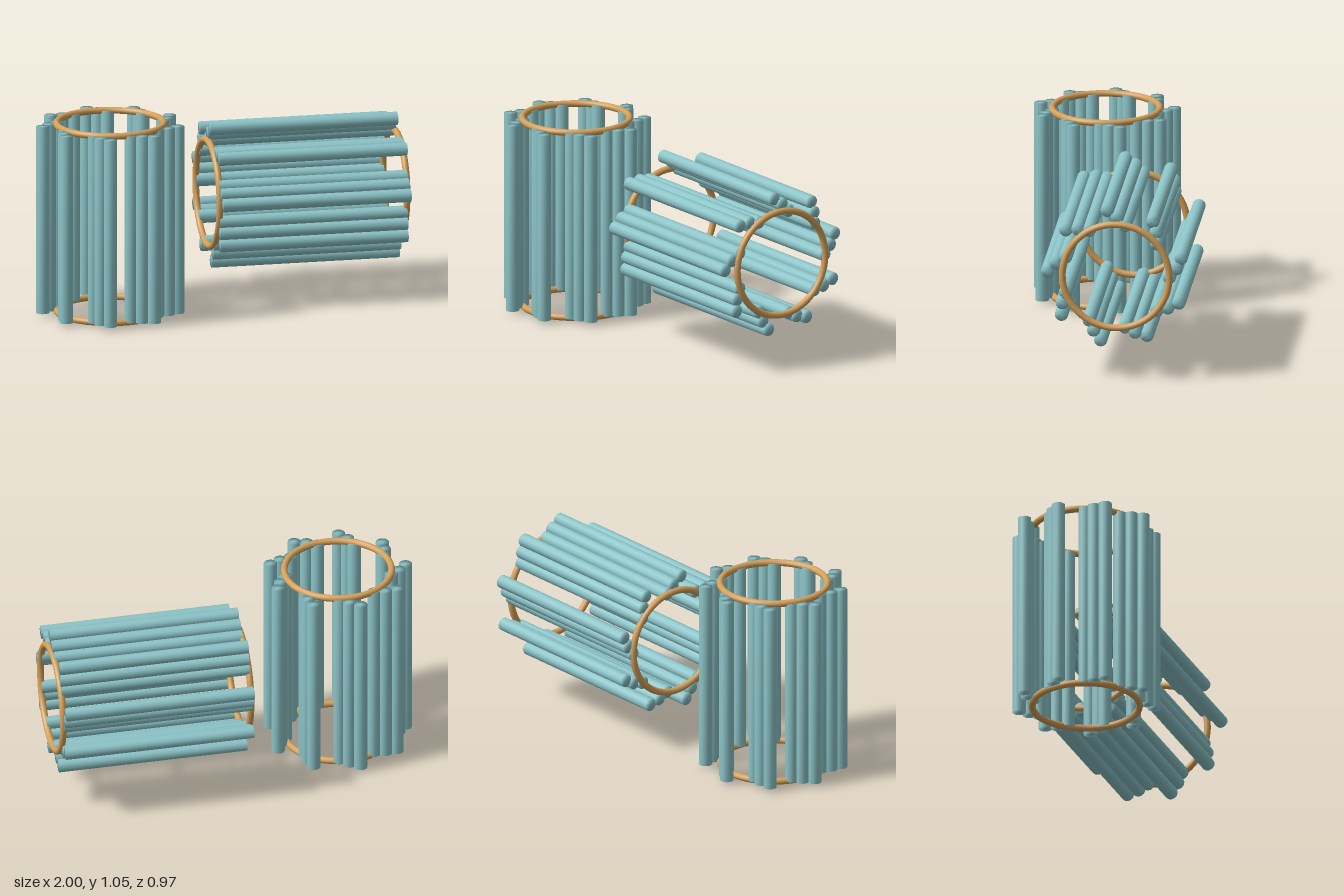
import * as THREE from 'three';
import { mergeVertices } from 'three/addons/utils/BufferGeometryUtils.js';

const RING_R = 0.283, RING_TUBE = 0.018, ROD_R = 0.0355, LENGTH = 1.012;
const GROUPS = 9, RODS_PER_GROUP = 3, TWIST = 0.15, RADIUS_STEP = 0.039;

const rodMaterial = new THREE.MeshStandardMaterial({ color: 0x8cc4c8 });
const ringMaterial = new THREE.MeshStandardMaterial({ color: 0xd4a05a });

// Rod along z, welded so that its ends shade softly
function makeRodGeometry() {
  const g = new THREE.CylinderGeometry(ROD_R, ROD_R, LENGTH, 12).rotateX(Math.PI / 2);
  g.deleteAttribute('normal');
  g.deleteAttribute('uv');
  const welded = mergeVertices(g);
  welded.computeVertexNormals();
  return welded;
}

// Cage along z: two end rings and nine fans of three rods spiralling outward
function makeCage(name) {
  const cage = new THREE.Group();
  cage.name = name;

  const ringGeometry = new THREE.TorusGeometry(RING_R, RING_TUBE, 12, 64);
  for (const end of [-1, 1]) {
    const ring = new THREE.Mesh(ringGeometry, ringMaterial);
    ring.name = end < 0 ? 'startRing' : 'endRing';
    ring.position.z = end * LENGTH / 2;
    cage.add(ring);
  }

  const rodGeometry = makeRodGeometry();
  for (let k = 0; k < GROUPS; k++) {
    const fan = new THREE.Group();
    fan.name = 'rodFan' + (k + 1);
    fan.rotation.z = (k * 2 * Math.PI) / GROUPS;
    for (let i = 0; i < RODS_PER_GROUP; i++) {
      const r = RING_R + i * RADIUS_STEP, a = i * TWIST;
      const rod = new THREE.Mesh(rodGeometry, rodMaterial);
      rod.name = 'rod' + (i + 1);
      rod.position.set(r * Math.cos(a), r * Math.sin(a), 0);
      fan.add(rod);
    }
    cage.add(fan);
  }
  return cage;
}

export function createModel() {
  const model = new THREE.Group();
  model.name = 'rodCages';

  // Cage standing upright
  const upright = makeCage('uprightCage');
  upright.rotation.x = -Math.PI / 2;
  upright.position.set(-0.604, RING_TUBE + LENGTH / 2, 0.097);

  // Cage lying along x
  const lying = makeCage('lyingCage');
  lying.rotation.y = Math.PI / 2;
  lying.position.set(1 - RING_TUBE - LENGTH / 2, 0.571, -0.105);

  model.add(upright, lying);
  return model;
}
